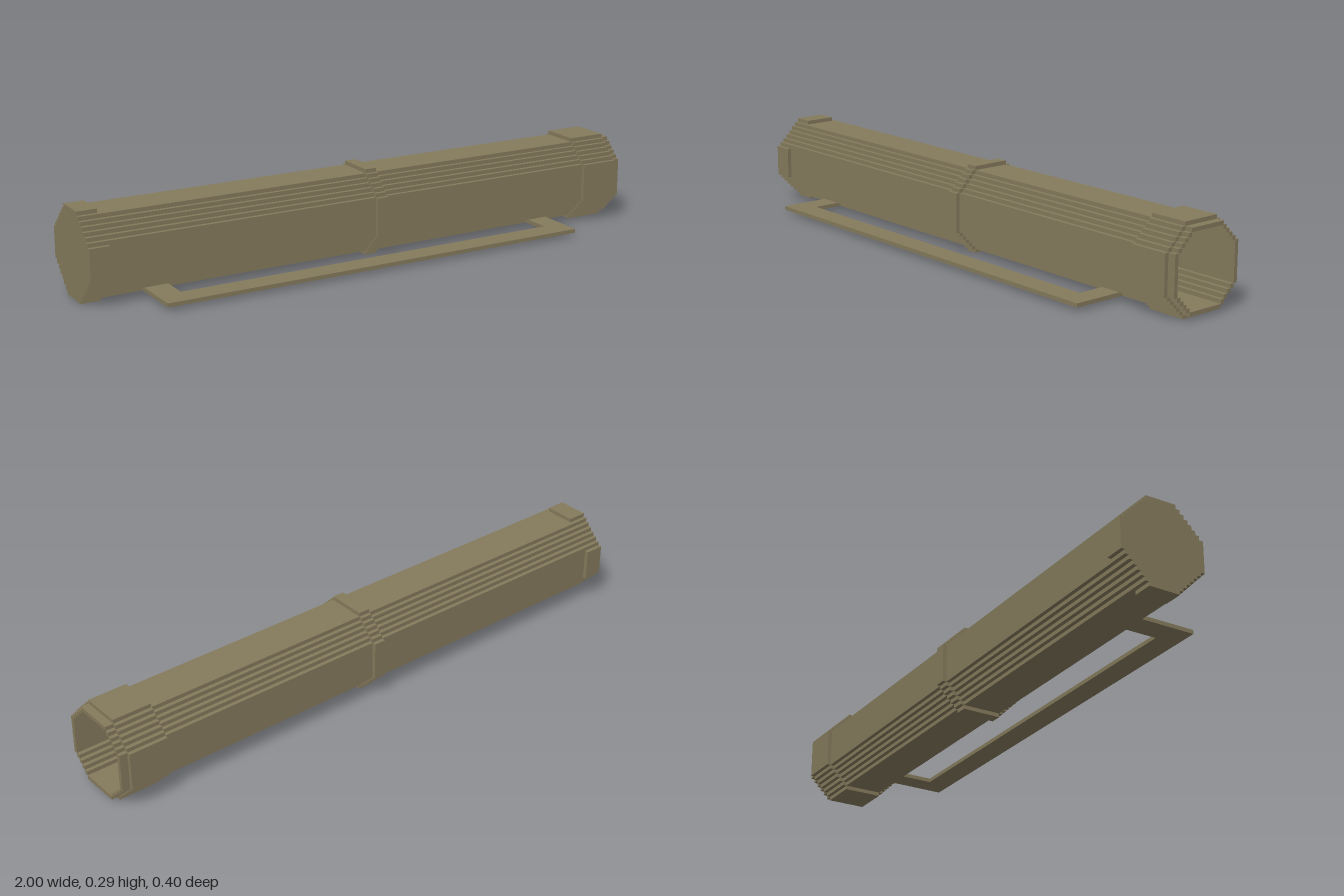
import * as THREE from 'three';

const U = 2 / 150;            // one grid step
const AXIS_Y = 11, AXIS_Z = -4; // tube axis, in steps

// Stepped octagon: flat sides of half-length 5 at distance r, one-step stairs between
function steppedOctagon(r, PathType) {
  const quarter = [];
  for (let u = r, v = 5; u >= 5; u--, v++) {
    quarter.push([u, v]);
    if (u > 5) quarter.push([u - 1, v]);
  }
  const points = [];
  for (let k = 0; k < 4; k++) {
    for (const [u, v] of quarter) {
      const [a, b] = [[u, v], [-v, u], [-u, -v], [v, -u]][k];
      points.push(new THREE.Vector2(a * U, b * U));
    }
  }
  return new PathType(points);
}

export function createModel() {
  const group = new THREE.Group();
  const olive = new THREE.MeshStandardMaterial({ color: 0x857a5c });
  olive.name = 'olive drab';

  function add(name, geometry, x, y, z) {
    const mesh = new THREE.Mesh(geometry, olive);
    mesh.name = name;
    mesh.position.set(x * U, y * U, z * U);
    group.add(mesh);
  }

  // Stepped section swept along x from x0 to x1, hollow when inner is given
  function section(name, x0, x1, outer, inner) {
    const shape = steppedOctagon(outer, THREE.Shape);
    if (inner) shape.holes.push(steppedOctagon(inner, THREE.Path));
    const geometry = new THREE.ExtrudeGeometry(shape, { depth: (x1 - x0) * U, bevelEnabled: false });
    geometry.rotateY(Math.PI / 2);
    add(name, geometry, x0, AXIS_Y, AXIS_Z);
  }

  // Box given by its limits in steps
  function box(name, x0, x1, y0, y1, z0, z1) {
    add(name, new THREE.BoxGeometry((x1 - x0) * U, (y1 - y0) * U, (z1 - z0) * U),
      (x0 + x1) / 2, (y0 + y1) / 2, (z0 + z1) / 2);
  }

  // Tube, open at the right end and closed at the left
  section('tube', -74, 75, 10, 9);
  section('endCap', -75, -74, 10);

  // Raised bands
  section('middleBand', 0, 3, 11, 10);
  section('muzzleBand', 63, 73, 11, 10);

  // Four raised pads around the closed end
  for (const s of [-1, 1]) {
    const y = AXIS_Y + s * 10.5, z = AXIS_Z + s * 10.5;
    box('endPad', -75, -70, y - 0.5, y + 0.5, AXIS_Z - 4, AXIS_Z + 4);
    box('endPad', -75, -70, AXIS_Y - 4, AXIS_Y + 4, z - 0.5, z + 0.5);
  }

  // Flat carrying strap
  box('strapBar', -60, 54.5, 1, 2, 9, 15);
  box('strapLeg', -60, -54, 1, 2, 1, 9);
  box('strapLeg', 49, 54.5, 1, 2, 1, 9);

  return group;
}
